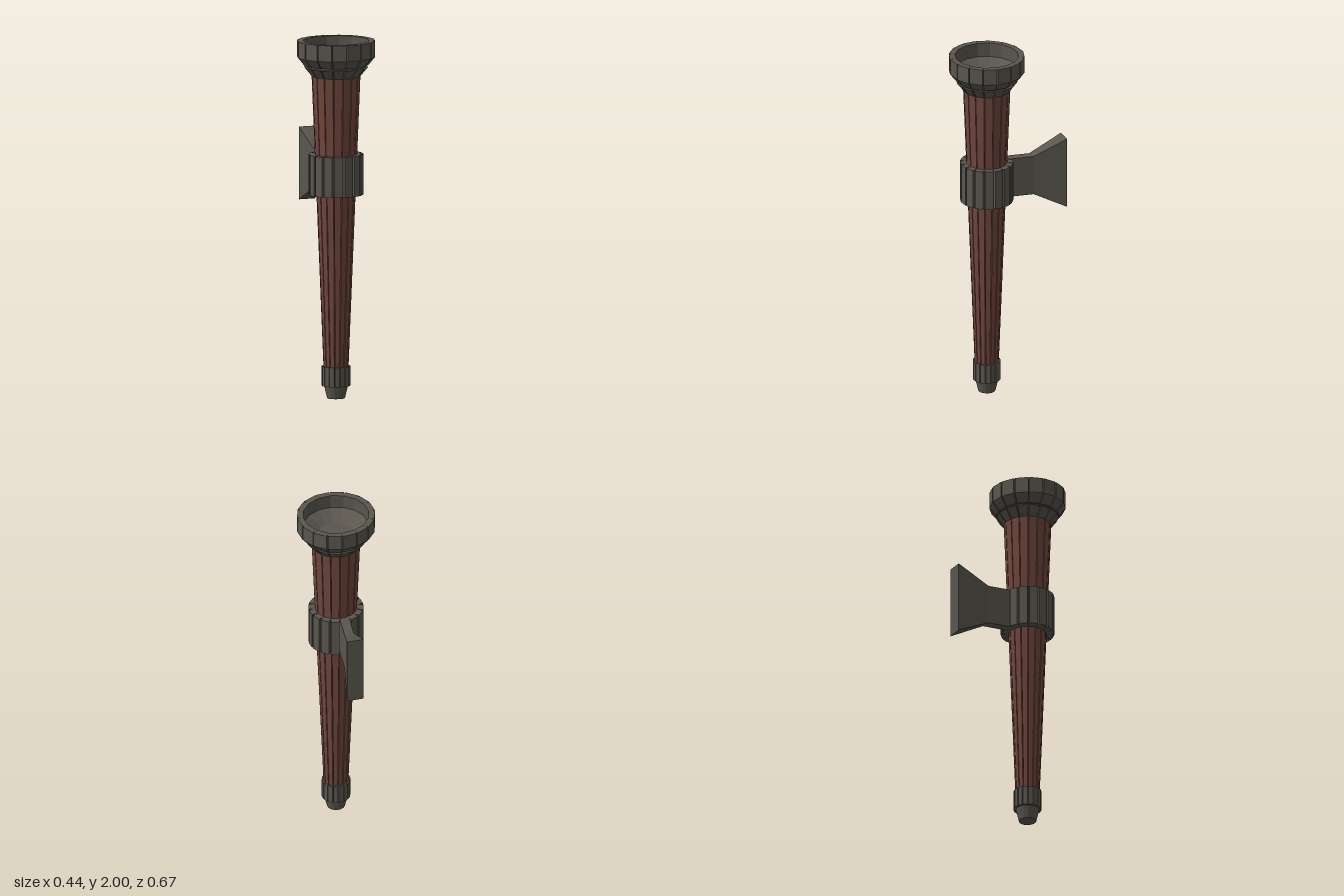
import * as THREE from 'three';
import { mergeGeometries } from 'three/addons/utils/BufferGeometryUtils.js';

const SIDES = 16;
const STEP = (Math.PI * 2) / SIDES;

// Closed solid through four-cornered cross-sections, flat shaded
function loft(sections) {
  const pos = [];
  const quad = (a, b, c, d) => [a, b, c, a, c, d].forEach(p => pos.push(...p));
  for (let i = 0; i < sections.length - 1; i++) {
    const s = sections[i], t = sections[i + 1];
    for (let k = 0; k < 4; k++) {
      const n = (k + 1) % 4;
      quad(s[k], s[n], t[n], t[k]);
    }
  }
  const first = sections[0], last = sections[sections.length - 1];
  quad(first[3], first[2], first[1], first[0]);
  quad(last[0], last[1], last[2], last[3]);
  const g = new THREE.BufferGeometry();
  g.setAttribute('position', new THREE.Float32BufferAttribute(pos, 3));
  g.computeVertexNormals();
  return g;
}

// Ring of staves pushed straight out from a faceted core, leaving V-shaped gaps.
// profile: [core radius, height] from bottom to top
function staveRing(profile, depth) {
  const staves = [];
  for (let i = 0; i < SIDES; i++) {
    const a0 = i * STEP, a1 = a0 + STEP, am = a0 + STEP / 2;
    const ox = Math.sin(am) * depth, oz = Math.cos(am) * depth;
    staves.push(loft(profile.map(([r, y]) => {
      const p = [Math.sin(a0) * r, y, Math.cos(a0) * r];
      const q = [Math.sin(a1) * r, y, Math.cos(a1) * r];
      return [[p[0] + ox, y, p[2] + oz], [q[0] + ox, y, q[2] + oz], q, p];
    })));
  }
  return mergeGeometries(staves);
}

export function createModel() {
  const iron = new THREE.MeshStandardMaterial({ color: 0x5a564e, flatShading: true });
  iron.name = 'dark iron';
  const wood = new THREE.MeshStandardMaterial({ color: 0x70463d, flatShading: true });
  wood.name = 'red-brown wood';

  const model = new THREE.Group();
  model.name = 'wallTorch';
  const torch = new THREE.Group();
  torch.name = 'torch';
  torch.position.z = 0.122;
  torch.scale.x = 1.04;
  model.add(torch);

  const add = (parent, name, geometry, material) => {
    const mesh = new THREE.Mesh(geometry, material);
    mesh.name = name;
    parent.add(mesh);
  };
  const lathe = pts => new THREE.LatheGeometry(pts.map(p => new THREE.Vector2(...p)), SIDES);

  // Tapered wooden shaft: solid core with staves around it
  add(torch, 'shaftCore', lathe([[0, 0.17], [0.057, 0.17], [0.12, 1.81], [0, 1.81]]), wood);
  add(torch, 'shaftStaves', staveRing([[0.055, 0.17], [0.119, 1.805]], 0.012), wood);

  // Iron foot: pointed tip and small collar
  add(torch, 'footTip', lathe([[0, 0], [0.048, 0], [0.064, 0.07], [0.064, 0.18], [0, 0.18]]), iron);
  add(torch, 'footCollar', staveRing([[0.064, 0.07], [0.064, 0.18]], 0.013), iron);

  // Collar around the middle of the shaft
  add(torch, 'middleCollar', staveRing([[0.098, 1.14], [0.118, 1.14], [0.118, 1.365], [0.098, 1.365]], 0.03), iron);

  // Cup: core with a hollow bowl, then stepped outer bands
  add(torch, 'cupBowl', lathe([
    [0, 1.8], [0.115, 1.8], [0.156, 1.848], [0.16, 1.868], [0.194, 1.912], [0.194, 2],
    [0.176, 2], [0.176, 1.92], [0.097, 1.87], [0, 1.87],
  ]), iron);
  add(torch, 'cupLowerBand', staveRing([[0.114, 1.8], [0.155, 1.852]], 0.016), iron);
  add(torch, 'cupFlare', staveRing([[0.157, 1.863], [0.194, 1.91]], 0.016), iron);
  add(torch, 'cupRim', staveRing([[0.194, 1.91], [0.194, 2]], 0.016), iron);

  // Wall bracket: one collar facet drawn out backwards and flared
  const slice = (xl, zl, xr, zr, low, high) =>
    [[xl, low, zl], [xl, high, zl], [xr, high, zr], [xr, low, zr]];
  add(model, 'wallBracket', loft([
    slice(-0.054, 0.01, 0, 0, 1.14, 1.365),
    slice(-0.053, -0.138, 0, -0.148, 1.14, 1.365),
    slice(-0.075, -0.327, 0.02, -0.336, 1.05, 1.457),
  ]), iron);

  return model;
}
